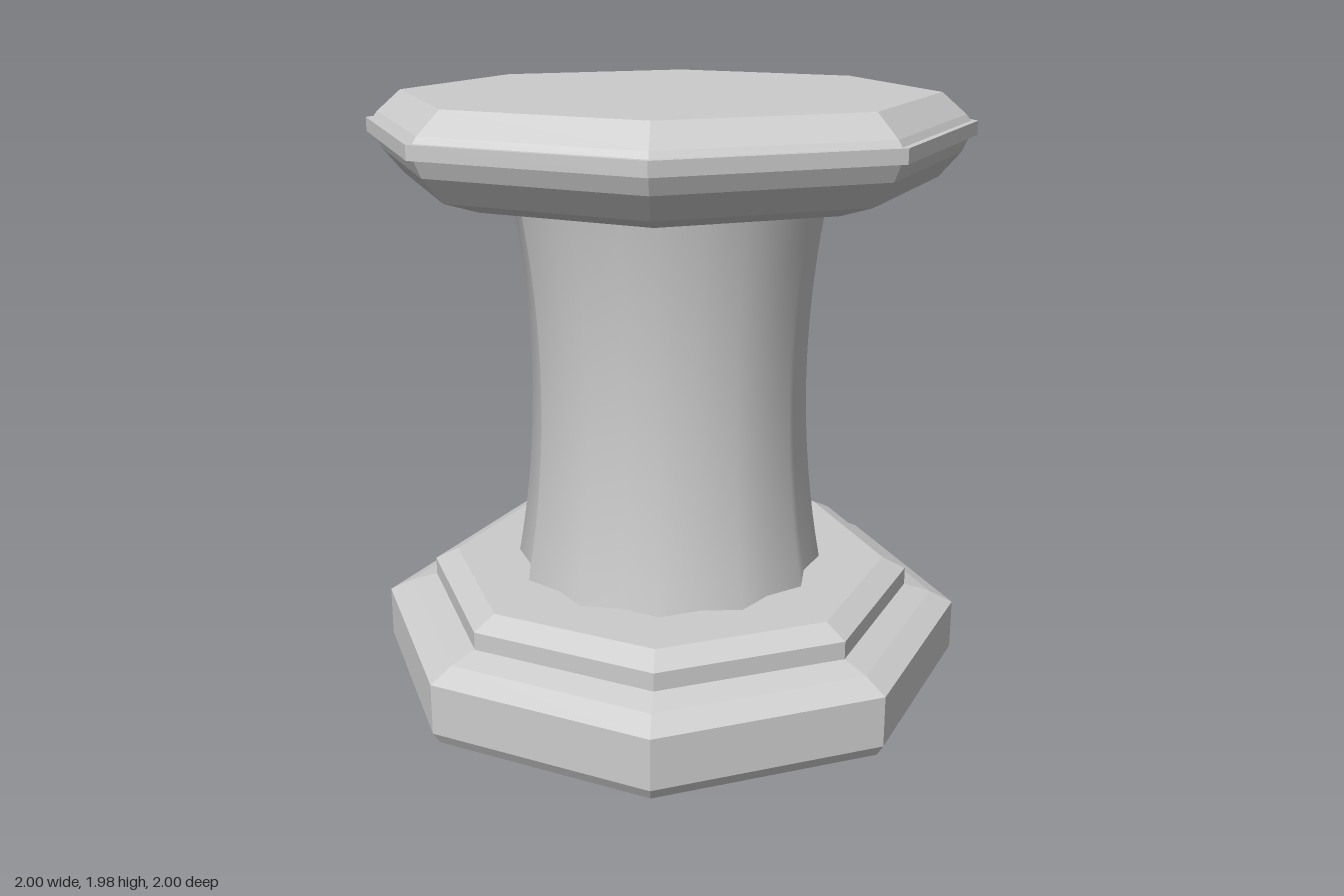
import * as THREE from 'three';

export function createModel() {
  const model = new THREE.Group();
  model.name = 'pedestal';
  const slabStone = new THREE.MeshStandardMaterial({ color: 0xcccccc, flatShading: true });
  slabStone.name = 'grey stone';
  const shaftStone = new THREE.MeshStandardMaterial({ color: 0xcccccc });
  shaftStone.name = 'smooth grey stone';

  // Eight-sided slab turned from a [radius, height] profile, corners on the axes
  function addSlab(name, profile) {
    const points = profile.map(([r, y]) => new THREE.Vector2(r, y));
    const mesh = new THREE.Mesh(new THREE.LatheGeometry(points, 8), slabStone);
    mesh.name = name;
    model.add(mesh);
  }

  // Stepped foot
  addSlab('base', [
    [0, 0], [0.975, 0], [1, 0.04], [1, 0.21], [0.92, 0.25], [0.83, 0.275],
    [0.83, 0.335], [0.75, 0.375], [0, 0.375],
  ]);

  // Table slab with a thin rim band
  addSlab('top', [
    [0, 1.67], [0.75, 1.67], [0.875, 1.71], [0.945, 1.79], [0.97, 1.845],
    [0.993, 1.845], [0.993, 1.89], [0.97, 1.89], [0.955, 1.91], [0.875, 1.98], [0, 1.98],
  ]);

  // Waisted shaft with twelve shallow flutes: every second column is a valley
  const flutes = 12;
  const bottom = 0.37, height = 1.31;
  const geometry = new THREE.CylinderGeometry(1, 1, height, flutes * 2, 16, true);
  geometry.translate(0, bottom + height / 2, 0);
  const position = geometry.attributes.position;
  for (let i = 0; i < position.count; i++) {
    const x = position.getX(i), y = position.getY(i), z = position.getZ(i);
    const flare = ((y - bottom - height / 2) / (height / 2)) ** 2;
    const valley = (1 - Math.cos(Math.atan2(x, z) * flutes)) / 2;
    const r = 0.467 + 0.062 * flare - valley * (0.032 + 0.008 * flare);
    position.setXYZ(i, x * r, y, z * r);
  }
  geometry.computeVertexNormals();
  // Radial normals give soft flutes and hide the seam
  const normal = geometry.attributes.normal;
  for (let i = 0; i < position.count; i++) {
    const ny = normal.getY(i);
    const a = Math.atan2(position.getX(i), position.getZ(i));
    const h = Math.sqrt(1 - ny * ny);
    normal.setXYZ(i, Math.sin(a) * h, ny, Math.cos(a) * h);
  }
  const shaft = new THREE.Mesh(geometry, shaftStone);
  shaft.name = 'flutedShaft';
  model.add(shaft);

  return model;
}
